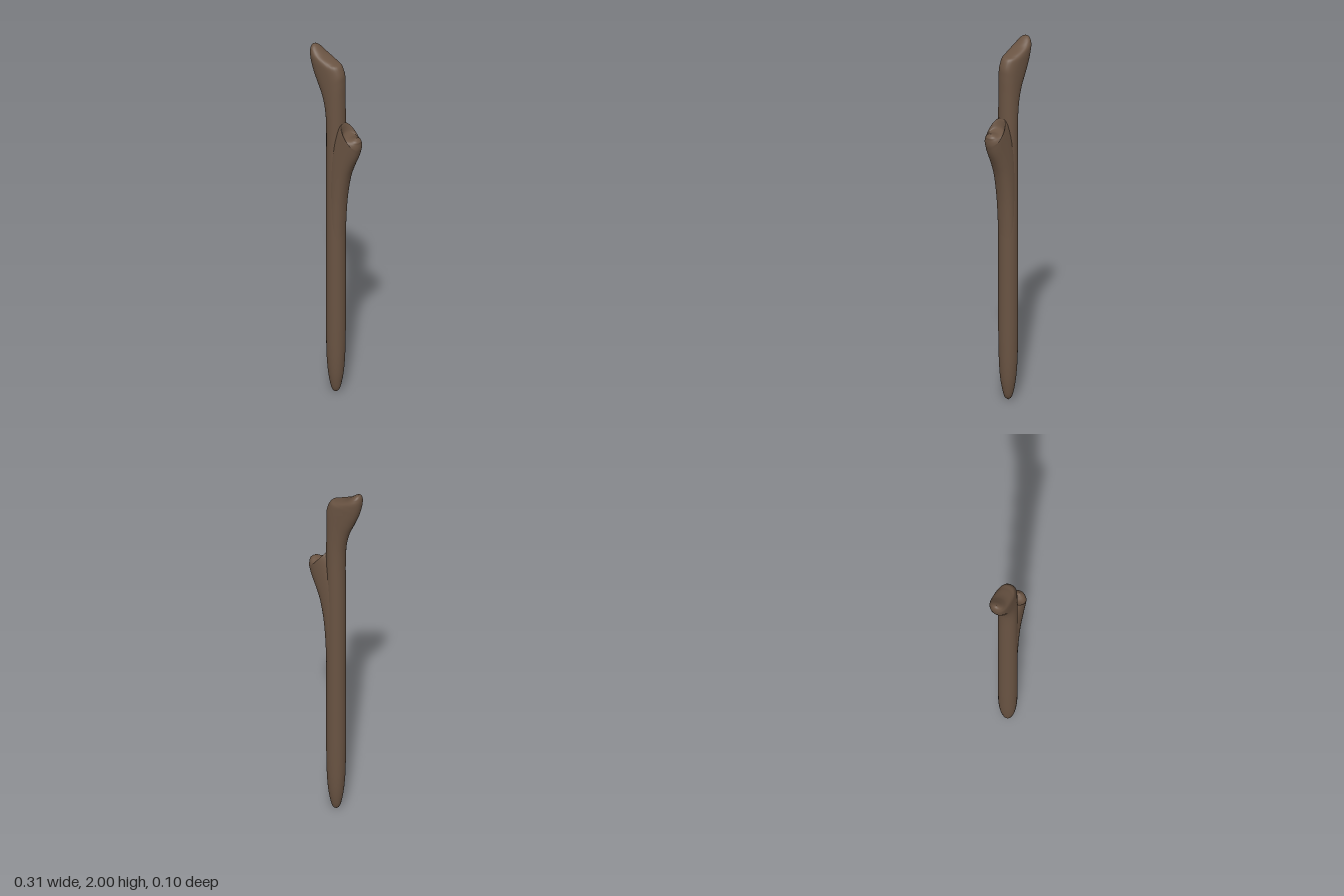
import * as THREE from 'three';

const STEPS = 110, SIDES = 32;

// Skin over sections, each [leftX, leftY, rightX, rightY, halfDepth, roundness exponent]
function loft(name, sections, material) {
  const left = new THREE.CatmullRomCurve3(sections.map(s => new THREE.Vector3(s[0], s[1], s[4])));
  const right = new THREE.CatmullRomCurve3(sections.map(s => new THREE.Vector3(s[2], s[3], s[5])));
  const power = (v, e) => Math.sign(v) * Math.abs(v) ** e;
  const positions = [], index = [];
  for (let i = 0; i <= STEPS; i++) {
    const l = left.getPoint(i / STEPS), r = right.getPoint(i / STEPS);
    for (let j = 0; j < SIDES; j++) {
      const a = (j / SIDES) * Math.PI * 2;
      const k = (1 + power(Math.cos(a), 2 / r.z)) / 2;
      positions.push(l.x + (r.x - l.x) * k, l.y + (r.y - l.y) * k, l.z * power(Math.sin(a), 2 / r.z));
      if (i < STEPS) {
        const p = i * SIDES + j, q = i * SIDES + (j + 1) % SIDES;
        index.push(p, p + SIDES, q, q, p + SIDES, q + SIDES);
      }
    }
  }
  const geometry = new THREE.BufferGeometry();
  geometry.setAttribute('position', new THREE.Float32BufferAttribute(positions, 3));
  geometry.setIndex(index);
  geometry.computeVertexNormals();
  const mesh = new THREE.Mesh(geometry, material);
  mesh.name = name;
  return mesh;
}

export function createModel() {
  const group = new THREE.Group();
  group.name = 'woodenStick';
  const bark = new THREE.MeshStandardMaterial({ color: 0x6a5443, roughness: 0.9 });

  // Straight shaft with a blunt point below and a swept tip leaning to -x
  group.add(loft('shaft', [
    [-0.001, 0.005, 0.001, 0.005, 0.001, 2],
    [-0.018, 0.02, 0.018, 0.02, 0.018, 2],
    [-0.034, 0.08, 0.034, 0.08, 0.034, 2],
    [-0.045, 0.18, 0.045, 0.18, 0.045, 2.1],
    [-0.05, 0.35, 0.05, 0.35, 0.05, 2.1],
    [-0.05, 0.8, 0.05, 0.8, 0.051, 2.1],
    [-0.05, 1.25, 0.05, 1.25, 0.051, 2.1],
    [-0.05, 1.58, 0.05, 1.6, 0.051, 2.1],
    [-0.058, 1.66, 0.049, 1.73, 0.051, 2.2],
    [-0.077, 1.73, 0.049, 1.82, 0.051, 2.3],
    [-0.108, 1.80, 0.044, 1.875, 0.051, 2.4],
    [-0.135, 1.865, 0.03, 1.907, 0.051, 2.4],
    [-0.15, 1.92, -0.005, 1.925, 0.05, 2.3],
    [-0.155, 1.96, -0.055, 1.945, 0.045, 2.2],
    [-0.153, 1.983, -0.095, 1.972, 0.034, 2],
    [-0.147, 1.995, -0.117, 1.99, 0.019, 2],
    [-0.136, 2, -0.134, 2, 0.001, 2],
  ], bark));

  // Stub of a cut side branch blending out of the shaft towards +x
  group.add(loft('sideBranch', [
    [-0.03, 0.85, 0.048, 0.85, 0.046, 2.1],
    [-0.03, 1.0, 0.052, 1.0, 0.049, 2.1],
    [-0.03, 1.15, 0.062, 1.15, 0.051, 2.2],
    [-0.03, 1.3, 0.083, 1.27, 0.052, 2.3],
    [-0.02, 1.42, 0.108, 1.345, 0.052, 2.4],
    [0.01, 1.53, 0.135, 1.405, 0.051, 2.4],
    [0.046, 1.59, 0.15, 1.45, 0.05, 2.3],
    [0.062, 1.54, 0.155, 1.475, 0.047, 2.2],
    [0.085, 1.524, 0.154, 1.5, 0.038, 2.1],
    [0.11, 1.525, 0.149, 1.518, 0.024, 2],
    [0.132, 1.53, 0.134, 1.53, 0.001, 2],
  ], bark));

  return group;
}
